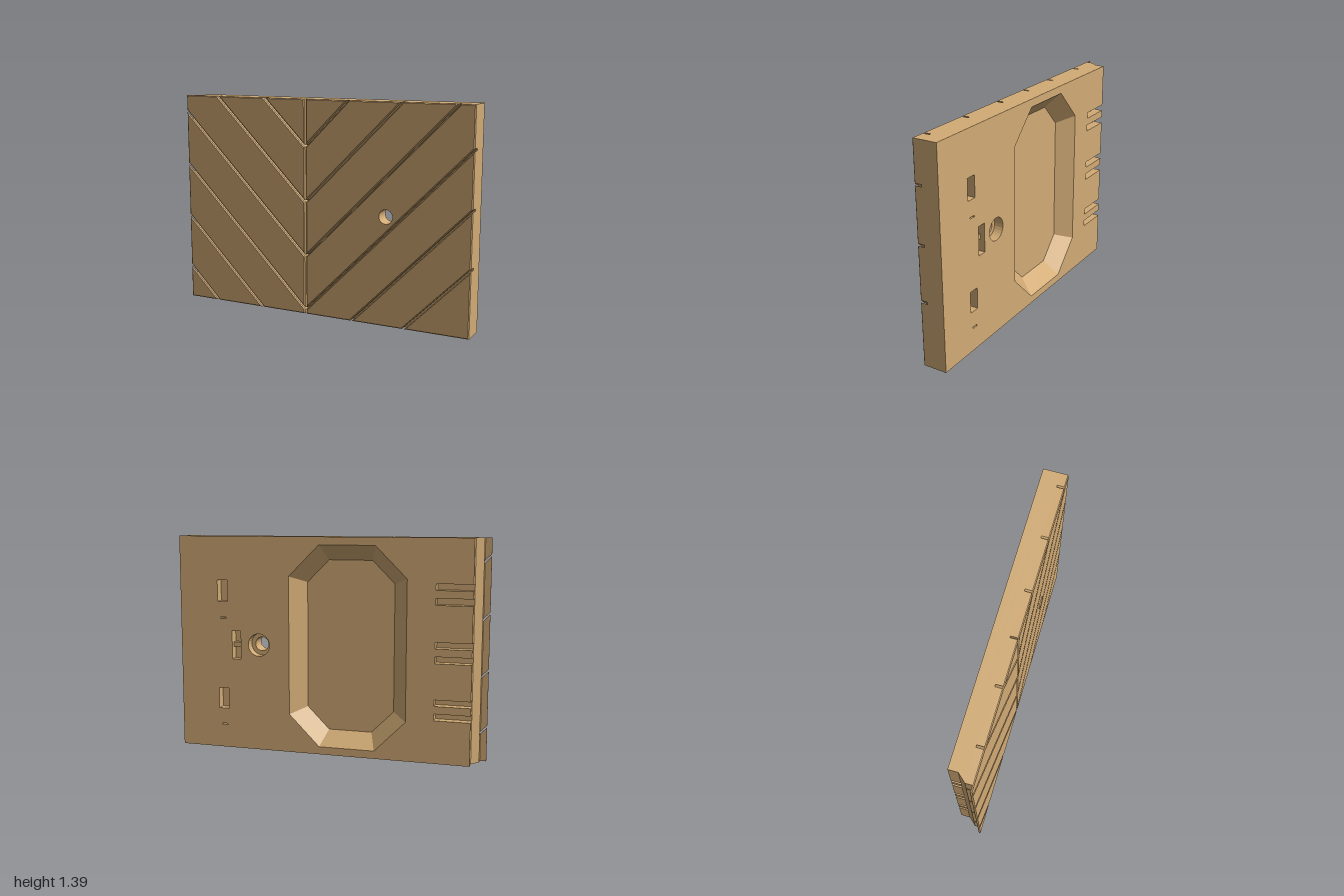
import * as THREE from 'three';

const H = 1.39;            // panel height
const SEAM = -0.1;         // x of the vertical seam
const PITCH = 0.354;       // vertical spacing of the diagonal grooves
const GAP = 0.005;         // half width of a groove
const HOLE = [0.455, 0.693];
const Z = { back: -0.08, pocket: -0.02, floor: 0.016, slot: 0.03, lip: 0.07, edge: 0.074, front: 0.08 };

const rect = (x0, x1, y0, y1) => [[x0, y0], [x1, y0], [x1, y1], [x0, y1]];

const circle = (r, n = 24) => Array.from({ length: n }, (_, i) => {
  const a = (i / n) * Math.PI * 2;
  return [HOLE[0] + r * Math.cos(a), HOLE[1] + r * Math.sin(a)];
});

const vecs = (pts) => pts.map(([x, y]) => new THREE.Vector2(x, y));

// Keep the part of a convex polygon where nx*x + ny*y >= d
function clip(poly, nx, ny, d) {
  const out = [];
  poly.forEach((p, i) => {
    const q = poly[(i + 1) % poly.length];
    const a = nx * p[0] + ny * p[1] - d;
    const b = nx * q[0] + ny * q[1] - d;
    if (a >= 0) out.push(p);
    if (a * b < 0) {
      const t = a / (a - b);
      out.push([p[0] + t * (q[0] - p[0]), p[1] + t * (q[1] - p[1])]);
    }
  });
  return out;
}

// Shrink a counter-clockwise convex polygon by d
function inset(poly, d) {
  const n = poly.length;
  const normal = (p, q) => {
    const l = Math.hypot(q[0] - p[0], q[1] - p[1]);
    return [-(q[1] - p[1]) / l, (q[0] - p[0]) / l];
  };
  return poly.map((p, i) => {
    const a = normal(poly[(i + n - 1) % n], p);
    const b = normal(p, poly[(i + 1) % n]);
    const k = d / (1 + a[0] * b[0] + a[1] * b[1]);
    return [p[0] + k * (a[0] + b[0]), p[1] + k * (a[1] + b[1])];
  });
}

// Side walls joining rings of [points, z]
function walls(rings, out = []) {
  for (let r = 0; r + 1 < rings.length; r++) {
    const [A, za] = rings[r];
    const [B, zb] = rings[r + 1];
    A.forEach((a, i) => {
      const j = (i + 1) % A.length;
      const a2 = A[j], b = B[i], b2 = B[j];
      out.push(...a, za, ...a2, za, ...b2, zb, ...a, za, ...b2, zb, ...b, zb);
    });
  }
  return out;
}

// Flat cap facing +z, or -z when flipped
function cap(pts, holes, z, flip, out) {
  const all = [pts, ...holes].flat();
  for (const f of THREE.ShapeUtils.triangulateShape(vecs(pts), holes.map(vecs))) {
    for (const i of flip ? [f[2], f[1], f[0]] : f) out.push(...all[i], z);
  }
}

function toGeometry(positions) {
  const g = new THREE.BufferGeometry();
  g.setAttribute('position', new THREE.Float32BufferAttribute(positions, 3));
  g.computeVertexNormals();
  return g;
}

// Straight slab with holes between two z levels
function slab(outline, holes, z0, z1) {
  const s = new THREE.Shape(vecs(outline));
  s.holes = holes.map((h) => new THREE.Path(vecs(h)));
  return new THREE.ExtrudeGeometry(s, { depth: z1 - z0, bevelEnabled: false }).translate(0, 0, z0);
}

// Thin face of a plank with a chamfered front edge
function plankFace(poly, holes) {
  const top = inset(poly, 0.006);
  const out = walls([[poly, Z.lip], [poly, Z.edge], [top, Z.front]]);
  for (const h of holes) {
    const cw = [...h].reverse();
    walls([[cw, Z.lip], [cw, Z.front]], out);
  }
  cap(poly, holes, Z.lip, true, out);
  cap(top, holes, Z.front, false, out);
  return toGeometry(out);
}

export function createModel() {
  const group = new THREE.Group();
  group.name = 'chevronPanel';
  const wood = new THREE.MeshStandardMaterial({ color: 0xd2ab75 });
  wood.name = 'lightWood';
  const add = (name, geometry) => {
    const m = new THREE.Mesh(geometry, wood);
    m.name = name;
    group.add(m);
  };

  // Chevron planks, mirrored about the seam
  for (const side of [-1, 1]) {
    const half = side > 0 ? rect(SEAM + GAP, 1, 0, H) : rect(-1, SEAM - GAP, 0, H);
    for (let n = -3; n <= 3; n++) {
      const lo = 0.03 + n * PITCH + GAP * Math.SQRT2;
      const hi = 0.03 + (n + 1) * PITCH - GAP * Math.SQRT2;
      let poly = half;
      if (n > -3) poly = clip(poly, -side, 1, lo - side * SEAM);
      if (n < 3) poly = clip(poly, side, -1, side * SEAM - hi);
      if (poly.length < 3) continue;
      const holes = side > 0 && n === 0 ? [circle(0.045)] : [];
      add('plankFace', plankFace(poly, holes));
      const body = clip(poly, 1, 0, -0.96);
      if (body.length > 2) add('plankBody', slab(body, holes, Z.slot, Z.lip));
    }
  }

  // Octagonal recess outline on the back
  const [x0, x1, y0, y1, c] = [-0.513, 0.249, 0.05, 1.34, 0.2];
  const octagon = [
    [x0 + c, y0], [x1 - c, y0], [x1, y0 + c], [x1, y1 - c],
    [x1 - c, y1], [x0 + c, y1], [x0, y1 - c], [x0, y0 + c],
  ];

  // Back board outline with paired slots cut into its left edge
  const edge = -0.915;
  const outline = [[edge, 0], [1, 0], [1, H], [edge, H]];
  for (const top of [1.115, 0.759, 0.403]) {
    for (const [a, b] of [[0, 0.04], [0.088, 0.13]]) {
      outline.push([edge, top - a], [-0.69, top - a], [-0.69, top - b], [edge, top - b]);
    }
  }

  // Small pockets and slits on the back
  const pockets = [rect(0.58, 0.64, 0.595, 0.78)];
  for (const y of [0.262, 0.97]) {
    pockets.push(rect(0.668, 0.738, y, y + 0.137));
    pockets.push(rect(0.68, 0.72, y - 0.113, y - 0.103));
  }

  add('backBoard', slab(outline, [octagon, circle(0.073), ...pockets], Z.back, Z.pocket));
  add('middleBoard', slab(rect(edge, 1, 0, H), [octagon, circle(0.045)], Z.pocket, Z.floor));
  add('coreBoard', slab(rect(edge, 1, 0, H), [circle(0.045)], Z.floor, Z.slot));

  // Sloping walls of the recess
  const inner = inset(octagon, Z.floor - Z.back);
  add('recessWalls', toGeometry(walls([
    [[...octagon].reverse(), Z.back],
    [[...inner].reverse(), Z.floor],
  ])));

  // Sloped strip along the left edge, profile drawn in x and -z
  const strip = new THREE.Shape(vecs([
    [edge, -Z.pocket], [-0.96, -Z.slot], [edge, -Z.slot],
  ]));
  add('edgeSlope', new THREE.ExtrudeGeometry(strip, { depth: H, bevelEnabled: false }).rotateX(-Math.PI / 2));

  // Low bar across the narrow pocket
  add('pocketBar', new THREE.BoxGeometry(0.06, 0.03, 0.03).translate(0.61, 0.688, Z.pocket - 0.015));

  return group;
}
